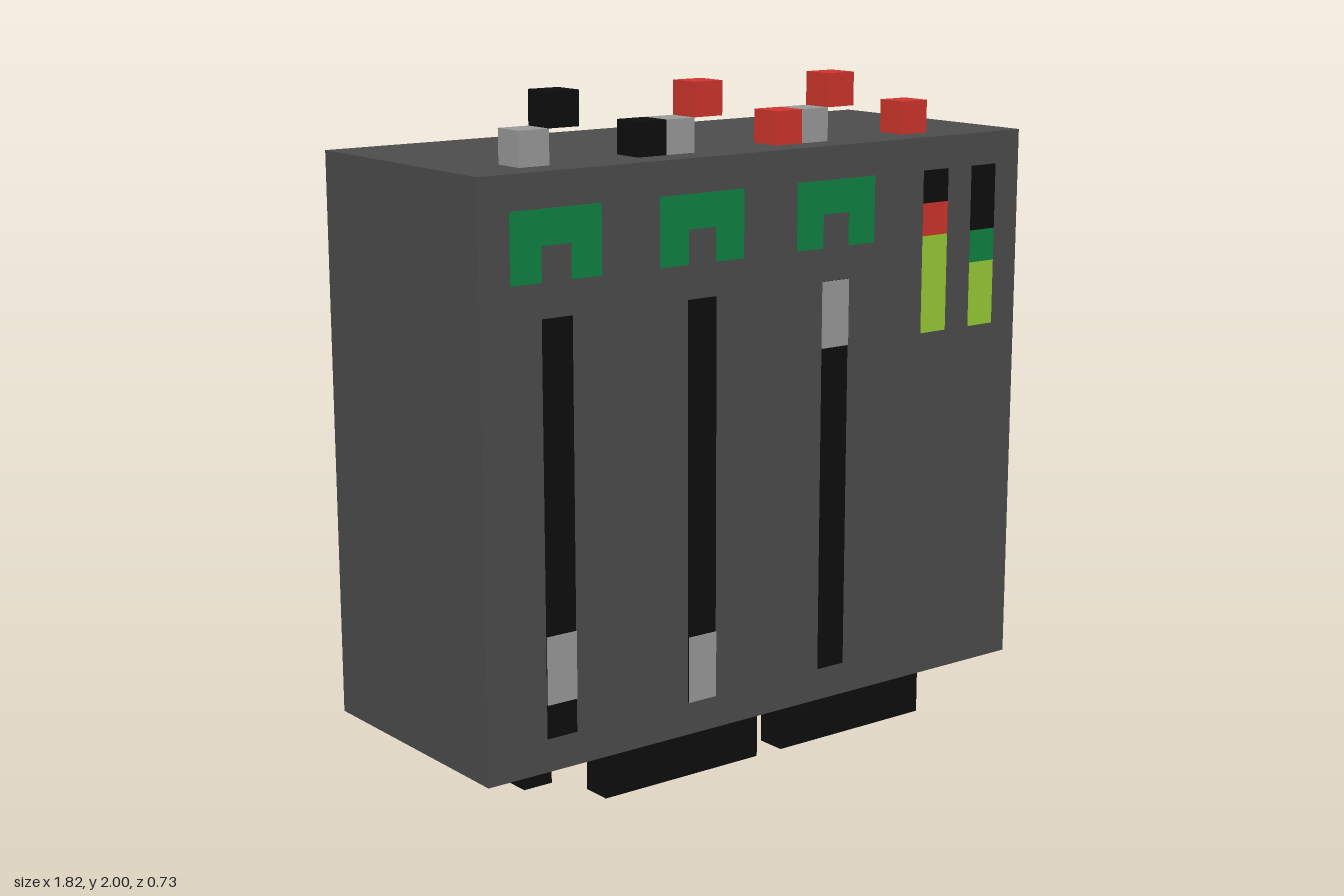
import * as THREE from 'three';

const U = 1 / 11; // one block

function material(name, color) {
  const m = new THREE.MeshStandardMaterial({ color });
  m.name = name;
  return m;
}

export function createModel() {
  const model = new THREE.Group();
  model.name = 'controlBox';
  const casing = material('darkGrey', 0x4d4d4d);
  const black = material('black', 0x0e0e0e);
  const grey = material('lightGrey', 0x9b9b9b);
  const red = material('red', 0xd0352d);
  const green = material('green', 0x0f8242);
  const lime = material('lime', 0x98cd35);

  // Box given by its low and high corners, in blocks
  function box(name, mat, x0, x1, y0, y1, z0, z1) {
    const mesh = new THREE.Mesh(new THREE.BoxGeometry((x1 - x0) * U, (y1 - y0) * U, (z1 - z0) * U), mat);
    mesh.position.set((x0 + x1) / 2 * U, (y0 + y1) / 2 * U, (z0 + z1) / 2 * U);
    mesh.name = name;
    model.add(mesh);
  }
  // Thin painted panel on the front face
  const panel = (name, mat, x0, x1, y0, y1, lift = 0.03) => box(name, mat, x0, x1, y0, y1, 4, 4 + lift);

  box('casing', casing, -10, 10, 3, 20, -4, 4);

  // Plugs underneath
  box('longPlugCentre', black, -3.5, 2.5, 0, 3, -0.5, 0.5);
  box('longPlugLeft', black, 3.5, 9.5, 0, 3, -0.5, 0.5);
  box('smallPeg', black, -6.5, -5.5, 1, 3, -0.5, 0.5);

  // Three channels: arch badge, slot and slider knob
  [[-8, 5], [-3, 4], [2, 14]].forEach(([x, knobY]) => {
    panel('slot', black, x, x + 1, 4, 16);
    panel('sliderKnob', grey, x, x + 1, knobY, knobY + 2, 0.06);
    panel('archTop', green, x - 1, x + 2, 18, 19);
    panel('archLegRight', green, x - 1, x, 17, 18);
    panel('archLegLeft', green, x + 1, x + 2, 17, 18);
  });

  // Level meters
  [
    [6, lime, 14, 17], [6, red, 17, 18], [6, black, 18, 19],
    [8, lime, 14, 16], [8, green, 16, 17], [8, black, 17, 19],
  ].forEach(([x, mat, y0, y1]) => panel('levelMeter', mat, x, x + 1, y0, y1));

  // Knob blocks on top
  [
    [-8, 20, grey], [-7, 21, black],
    [-4, 20, black], [-3, 20, grey], [-2, 21, red],
    [1, 20, red], [2, 20, grey], [3, 21, red],
    [6, 20, red],
  ].forEach(([x, y, mat]) => box('topKnob', mat, x, x + 1, y, y + 1, 2, 3));

  return model;
}
